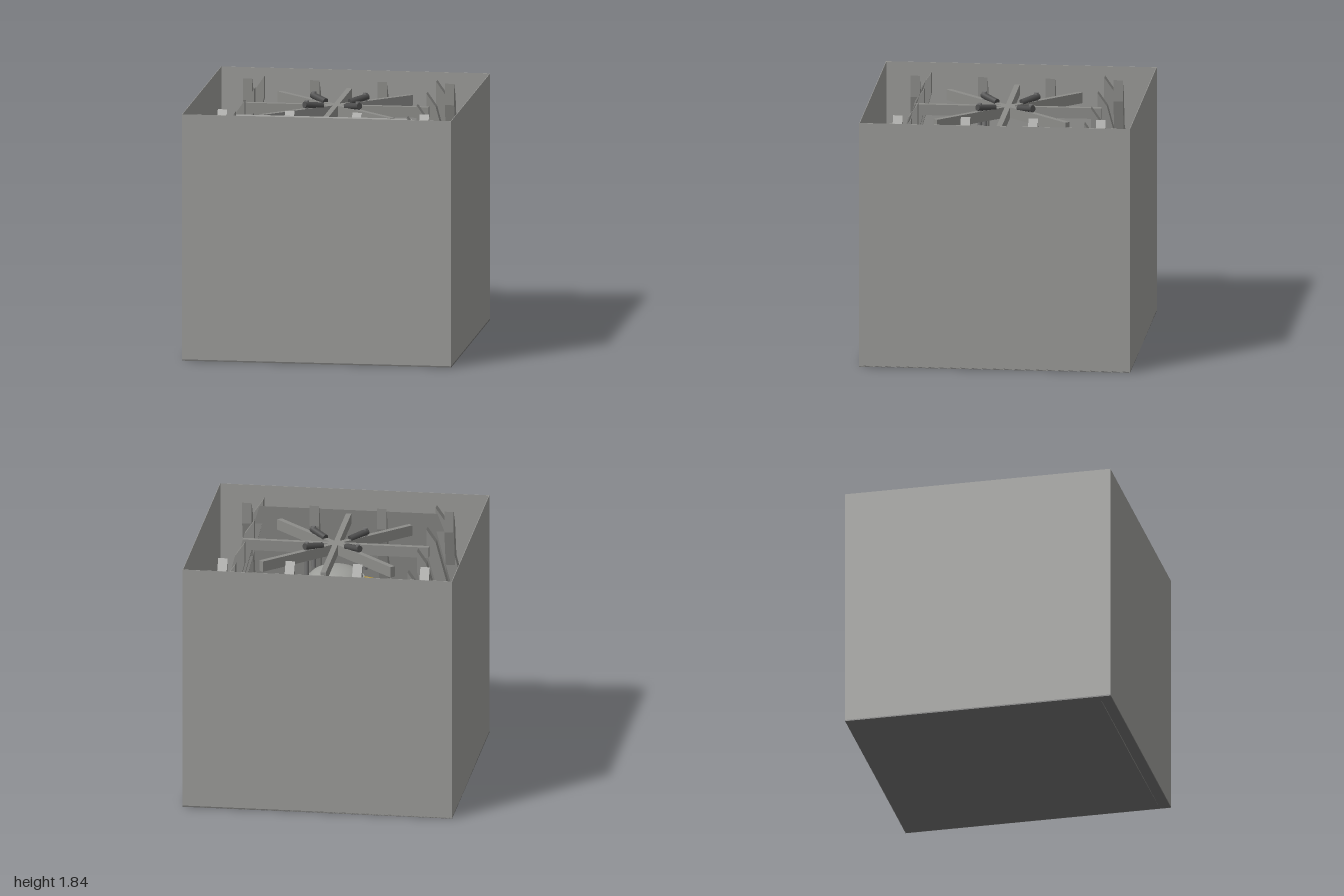
import * as THREE from 'three';

const mat = (name, color, side = THREE.FrontSide) => {
  const m = new THREE.MeshStandardMaterial({ color, side });
  m.name = name;
  return m;
};

export function createModel() {
  const root = new THREE.Group();
  root.name = 'reactorChamber';
  const wall = mat('wallGrey', 0x9a9a97, THREE.DoubleSide);
  const floorGrey = mat('floorGrey', 0x70706f);
  const steel = mat('lightSteel', 0x9c9d99);
  const beamGrey = mat('beamGrey', 0x8c8c89);
  const dark = mat('darkMetal', 0x4c4c4c);
  const pipeGrey = mat('pipeGrey', 0x737373);
  const copper = mat('copper', 0xb4694a);
  const gold = mat('safetyYellow', 0xb8962e);

  const add = (name, geo, material, x = 0, y = 0, z = 0, ry = 0, parent = root) => {
    const m = new THREE.Mesh(geo, material);
    m.name = name;
    m.position.set(x, y, z);
    m.rotation.y = ry;
    parent.add(m);
    return m;
  };
  const box = (name, w, h, d, material, x, y, z, ry = 0) =>
    add(name, new THREE.BoxGeometry(w, h, d), material, x, y, z, ry);
  const V = (x, y, z) => new THREE.Vector3(x, y, z);
  // Straight round bar between two points
  const rod = (name, a, b, r, material, sides = 12) => {
    const m = add(name, new THREE.CylinderGeometry(r, r, a.distanceTo(b), sides), material);
    m.position.copy(a).add(b).multiplyScalar(0.5);
    m.quaternion.setFromUnitVectors(V(0, 1, 0), b.clone().sub(a).normalize());
    return m;
  };
  // Flat ring sector with thickness, lying level; angles run from +x towards +z
  const ringPlate = (name, r0, r1, h, y, material, a0 = 0, a1 = Math.PI * 2) => {
    const s = new THREE.Shape();
    s.absarc(0, 0, r1, a0, a1, false);
    if (a1 - a0 > 6.2) {
      const hole = new THREE.Path();
      hole.absarc(0, 0, r0, 0, Math.PI * 2, true);
      s.holes.push(hole);
    } else s.absarc(0, 0, r0, a1, a0, true);
    const g = new THREE.ExtrudeGeometry(s, { depth: h, bevelEnabled: false, curveSegments: 48 });
    g.rotateX(Math.PI / 2);
    return add(name, g, material, 0, y + h, 0);
  };

  // Outer shell, open at the top
  const H = 1.84, T = 0.004;
  box('floor', 2, 0.01, 2, floorGrey, 0, 0.005, 0);
  for (const s of [-1, 1]) {
    box('frontBackWall', 2, H, T, wall, 0, H / 2, s * (1 - T / 2));
    box('sideWall', T, H, 2, wall, s * (1 - T / 2), H / 2, 0);
    box('floorStripe', 1.82, 0.008, 0.02, gold, 0, 0.014, s * 0.9);
    box('floorStripe', 0.02, 0.008, 1.82, gold, s * 0.9, 0.014, 0);
  }

  // Inward leaning panel at the front, with the upright wall under it
  const lean = new THREE.BufferGeometry();
  lean.setAttribute('position', new THREE.Float32BufferAttribute(
    [-0.92, 0.95, 0.92, 0.92, 0.95, 0.92, 0.66, 1.79, 0.67, -0.66, 1.79, 0.67], 3));
  lean.setIndex([0, 1, 2, 0, 2, 3]);
  lean.computeVertexNormals();
  add('leaningPanel', lean, wall);
  box('innerFrontWall', 1.84, 0.95, 0.006, wall, 0, 0.475, 0.917);
  box('doorPanel', 0.38, 0.5, 0.012, dark, 0, 0.26, 0.924);

  // Bent wall ribs, four on each side
  const ribShape = new THREE.Shape([[0.85, 0.01], [0.85, 1.2], [0.71, 1.72], [0.64, 1.82], [0.64, 1.66], [0.77, 1.18], [0.77, 0.01]]
    .map(p => new THREE.Vector2(...p)));
  const ribGeo = new THREE.ExtrudeGeometry(ribShape, { depth: 0.07, bevelEnabled: false });
  ribGeo.translate(0, 0, -0.035);
  for (let k = 0; k < 4; k++) {
    const side = new THREE.Group();
    side.name = 'wallRibs';
    side.rotation.y = k * Math.PI / 2;
    root.add(side);
    for (const z of [-0.75, -0.25, 0.25, 0.75]) add('wallRib', ribGeo, beamGrey, 0, 0, z, 0, side);
  }

  // Star of overhead beams
  for (let k = 0; k < 4; k++) box('overheadBeam', 1.38, 0.08, 0.04, beamGrey, 0, 1.72, 0, k * Math.PI / 4);

  // Diagonal pipes with collars, and the hangers on the beams
  for (const sx of [-1, 1]) for (const sz of [-1, 1]) {
    const p = (d, y) => V(sx * d, y, sz * d);
    const m = sx === sz ? pipeGrey : copper;
    rod('diagonalPipe', p(0.14, 1.0), p(0.81, 1.0), 0.035, m, 16);
    rod('pipeDrop', p(0.8, 1.01), p(0.88, 0.01), 0.035, m, 16);
    for (const d of [0.52, 0.66]) rod('pipeCollar', p(d - 0.008, 1.0), p(d + 0.008, 1.0), 0.046, steel, 16);
    rod('beamHanger', p(0.205, 1.79), p(0.09, 1.765), 0.024, dark);
    rod('hangerPin', p(0.19, 1.5), p(0.19, 1.82), 0.016, pipeGrey);
  }

  // Reactor vessel
  const profile = [[0, 0.01], [0.26, 0.01], [0.26, 0.12], [0.2, 0.16], [0.16, 0.3], [0.16, 1.36], [0.2, 1.4], [0.2, 1.49]];
  add('reactorVessel', new THREE.LatheGeometry(profile.map(q => new THREE.Vector2(...q)), 32), pipeGrey);
  const dome = add('reactorDome', new THREE.SphereGeometry(0.2, 32, 10, 0, Math.PI * 2, 0, Math.PI / 2), steel, 0, 1.49, 0);
  dome.scale.y = 0.45;
  ringPlate('domeRim', 0.17, 0.21, 0.03, 1.47, steel);
  ringPlate('upperCollar', 0.16, 0.24, 0.04, 1.2, steel);
  ringPlate('lowerCollar', 0.16, 0.25, 0.05, 0.25, steel);
  for (let i = 0; i < 16; i++) {
    const a = (i + 0.5) * Math.PI / 8, c = Math.cos(a), s = Math.sin(a);
    rod('fuelRod', V(c * 0.215, 0.28, s * 0.215), V(c * 0.215, 1.42, s * 0.215), 0.014, [copper, dark, steel, dark][i % 4], 8);
    box('radialRib', 0.08, 0.05, 0.014, beamGrey, c * 0.28, 1.14, s * 0.28, -a);
  }

  // Ring platform with kick plates, railings and columns
  const P = 1.12, top = P + 0.04;
  ringPlate('ringPlatform', 0.32, 0.48, 0.04, P, steel);
  ringPlate('innerLedge', 0.22, 0.32, 0.02, P - 0.02, steel);
  for (const r of [0.32, 0.48]) {
    for (const h of [0.01, 0.1, 0.19]) {
      const g = new THREE.TorusGeometry(r, 0.005, 6, 64);
      g.rotateX(Math.PI / 2);
      add('platformRail', g, gold, 0, top + h, 0);
    }
    for (let i = 0; i < 16; i++) {
      const a = (i + 0.5) * Math.PI / 8, x = r * Math.cos(a), z = r * Math.sin(a);
      rod('railPost', V(x, top, z), V(x, top + 0.19, z), 0.005, gold, 6);
    }
  }
  for (let i = 0; i < 8; i++) {
    const a = (i + 0.5) * Math.PI / 4, x = 0.42 * Math.cos(a), z = 0.42 * Math.sin(a);
    rod('platformColumn', V(x, 0.01, z), V(x, P, z), 0.018, beamGrey);
  }

  // Walkways to both sides, landing and stairs
  for (const s of [-1, 1]) {
    box('walkway', 0.41, 0.04, 0.16, steel, s * 0.665, P + 0.019, 0);
    for (const z of [-0.08, 0.08]) {
      if (s > 0 && z > 0) continue;
      for (const h of [0.005, 0.1, 0.19]) box('walkwayRail', 0.39, 0.01, 0.01, gold, s * 0.67, top + h, z);
    }
  }
  for (const h of [0.005, 0.1, 0.19]) box('walkwayRail', 0.19, 0.01, 0.01, gold, 0.575, top + h, 0.08);
  box('stairLanding', 0.16, 0.04, 0.3, steel, 0.75, P + 0.02, 0.05);
  const steps = 18, run = 0.034;
  for (let i = 0; i < steps; i++)
    box('stairStep', 0.15, 0.015, run, steel, 0.75, top - (i + 1) * top / (steps + 1), 0.217 + i * run);
  for (const x of [0.675, 0.83]) {
    const end = 0.2 + steps * run;
    rod('stairStringer', V(x, P, 0.2), V(x, 0.03, end), 0.012, dark, 6);
    rod('stairRail', V(x, top + 0.18, 0.2), V(x, 0.2, end), 0.006, gold, 6);
    rod('stairPost', V(x, top, 0.2), V(x, top + 0.18, 0.2), 0.006, gold, 6);
    rod('stairPost', V(x, 0.01, end), V(x, 0.2, end), 0.006, gold, 6);
  }

  // Curved control desk facing the reactor
  ringPlate('deskBody', 0.73, 0.8, 0.22, 0.01, dark, Math.PI / 4, Math.PI * 0.75);
  ringPlate('deskLip', 0.7, 0.73, 0.2, 0.03, dark, Math.PI / 4, Math.PI * 0.75);
  ringPlate('deskTop', 0.73, 0.82, 0.03, 0.23, steel, Math.PI / 4, Math.PI * 0.75);
  return root;
}
